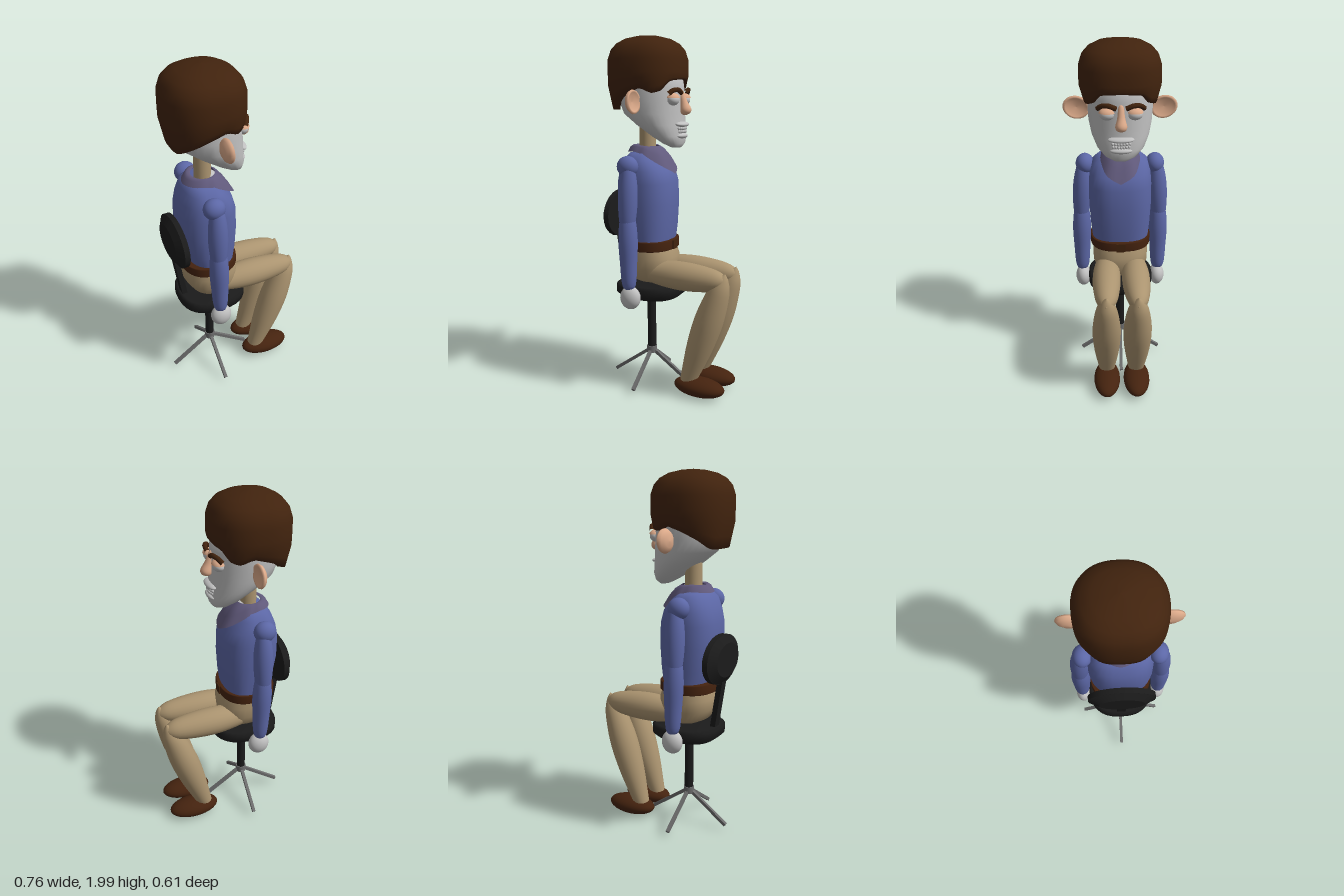
import * as THREE from 'three';

const mat = (name, color, side = THREE.FrontSide) => {
  const m = new THREE.MeshStandardMaterial({ color, side });
  m.name = name;
  return m;
};

// Closed surface of rings; at(i, angle) gives the point on ring i, listed from bottom to top
function rings(count, at, seg = 32) {
  const pos = [], idx = [];
  for (let i = 0; i < count; i++) {
    for (let j = 0; j < seg; j++) pos.push(...at(i, (j / seg) * Math.PI * 2));
  }
  for (let i = 0; i < count - 1; i++) {
    for (let j = 0; j < seg; j++) {
      const k = (j + 1) % seg, a = i * seg + j, b = i * seg + k, c = a + seg, d = b + seg;
      idx.push(a, c, b, b, c, d);
    }
  }
  const g = new THREE.BufferGeometry();
  g.setAttribute('position', new THREE.Float32BufferAttribute(pos, 3));
  g.setIndex(idx);
  g.computeVertexNormals();
  return g;
}

const bow = (v, p) => Math.sign(v) * Math.abs(v) ** p;

// Loft through horizontal sections [y, xBack, xFront, halfWidth]; p < 1 makes them boxier
const loft = (s, p = 1) => rings(s.length, (i, a) => {
  const [y, x0, x1, w] = s[i];
  return [(x0 + x1) / 2 + ((x1 - x0) / 2) * bow(Math.cos(a), p), y, w * bow(Math.sin(a), p)];
});

// Linear lookup in [[key, value], ...]
function lookup(table, k) {
  for (let i = 1; i < table.length; i++) {
    const [a, va] = table[i - 1], [b, vb] = table[i];
    if (k <= b) return va + ((vb - va) * (k - a)) / (b - a);
  }
  return table[table.length - 1][1];
}

export function createModel() {
  const model = new THREE.Group();
  const hairBrown = mat('hair brown', 0x41230e);
  const leather = mat('leather brown', 0x45230f);
  const grey = mat('pale grey', 0xc0c0c0);
  const peach = mat('peach', 0xdcaa8a);
  const blue = mat('sweater blue', 0x5c67a6);
  const tan = mat('trouser tan', 0xab9470);
  const mauve = mat('collar mauve', 0x615a7c, THREE.DoubleSide);
  const black = mat('chair black', 0x1b1b1b);
  const metal = mat('metal grey', 0x6c6c6c);

  const add = (name, geo, m, x = 0, y = 0, z = 0) => {
    const mesh = new THREE.Mesh(geo, m);
    mesh.name = name;
    mesh.position.set(x, y, z);
    model.add(mesh);
    return mesh;
  };
  const blob = (name, m, c, r, tilt = [0, 0, 0]) => {
    const mesh = add(name, new THREE.SphereGeometry(1, 28, 18), m, ...c);
    mesh.scale.set(...r);
    mesh.rotation.set(...tilt);
    return mesh;
  };
  // Round limb between two points, profile [fraction along, radius], width scaled in z
  const limb = (name, m, from, to, profile, seg = 24) => {
    const a = new THREE.Vector3(...from), d = new THREE.Vector3(...to).sub(a);
    const curve = new THREE.SplineCurve(profile.map(([t, r]) => new THREE.Vector2(r, t * d.length())));
    const pts = curve.getPoints(24).map((v) => v.setX(Math.max(v.x, 0)));
    const mesh = add(name, new THREE.LatheGeometry(pts, seg), m, ...from);
    mesh.quaternion.setFromUnitVectors(new THREE.Vector3(0, 1, 0), d.normalize());
    return mesh;
  };

  // Head
  add('head', loft([
    [1.395, 0.02, 0.03, 0], [1.398, -0.0, 0.045, 0.04], [1.42, -0.045, 0.062, 0.085], [1.46, -0.11, 0.066, 0.125],
    [1.52, -0.2, 0.06, 0.155], [1.58, -0.28, 0.058, 0.17], [1.65, -0.31, 0.056, 0.176],
    [1.72, -0.31, 0.052, 0.176], [1.8, -0.3, 0.04, 0.17], [1.88, -0.15, -0.1, 0],
  ]), grey);

  // Hair cap with a hairline that dips at the temples and the nape
  const hairline = [[0, 1.765], [28, 1.755], [46, 1.7], [62, 1.69], [80, 1.72], [100, 1.69], [130, 1.64], [155, 1.6], [180, 1.6]];
  const crown = [[1.8, 1], [1.87, 0.995], [1.92, 0.92], [1.955, 0.78], [1.98, 0.57], [1.995, 0.28], [2, 0]];
  add('hair', rings(crown.length + 4, (i, a) => {
    const deg = (Math.acos(Math.cos(a)) * 180) / Math.PI;
    const low = lookup(hairline, deg), edge = lookup([[0, 0.98], [90, 0.92], [180, 0.86]], deg);
    let y, s;
    if (i < 4) {
      const t = [0, 0, 0.3, 0.65][i];
      y = low + (1.8 - low) * t;
      s = i === 0 ? 0.7 : edge + (1 - edge) * Math.min(1, t * 1.5);
    } else [y, s] = crown[i - 4];
    return [-0.148 + 0.212 * s * bow(Math.cos(a), 0.85), y, 0.22 * s * bow(Math.sin(a), 0.85)];
  }, 48), hairBrown);

  // Face
  limb('nose', peach, [0.045, 1.71, 0], [0.085, 1.575, 0], [[0, 0], [0.08, 0.013], [0.5, 0.021], [0.8, 0.031], [0.95, 0.022], [1, 0]]);
  blob('upperLip', grey, [0.055, 1.525, 0], [0.03, 0.015, 0.07], [0, 0, -0.15]);
  blob('lowerLip', grey, [0.052, 1.462, 0], [0.027, 0.016, 0.06]);
  for (let i = -3; i <= 3; i++) {
    blob('upperTooth', grey, [0.066 - i * i * 0.001, 1.502, i * 0.015], [0.008, 0.009, 0.008]);
    blob('lowerTooth', grey, [0.066 - i * i * 0.001, 1.485, i * 0.014], [0.008, 0.009, 0.007]);
  }

  // Neck, undershirt and collar
  add('neck', new THREE.CylinderGeometry(0.046, 0.046, 0.2, 24), tan, -0.155, 1.44);
  blob('undershirt', grey, [-0.105, 1.365, 0], [0.05, 0.03, 0.045], [0, 0, -0.6]);
  const drop = [[0, 1.25], [25, 1.285], [50, 1.325], [75, 1.36], [110, 1.375], [180, 1.365]];
  const reach = [[0, 0.172], [25, 0.165], [50, 0.13], [90, 0.105], [180, 0.115]];
  add('collar', rings(4, (i, a) => {
    const deg = (Math.acos(Math.cos(a)) * 180) / Math.PI;
    const t = [1, 0.66, 0.33, 0][i];
    const r = 0.065 + (lookup(reach, deg) - 0.065) * t;
    const y = 1.402 + (lookup(drop, deg) - 1.402) * t + 0.02 * Math.sin(t * Math.PI);
    return [-0.155 + r * Math.cos(a), y, r * Math.sin(a)];
  }, 40), mauve);

  // Torso, belt and hips
  add('torso', loft([
    [0.86, -0.26, -0.01, 0.16], [0.95, -0.29, 0.002, 0.17], [1.08, -0.31, 0.01, 0.178], [1.2, -0.31, 0.006, 0.178],
    [1.27, -0.295, -0.015, 0.172], [1.33, -0.27, -0.065, 0.155], [1.365, -0.24, -0.095, 0.115], [1.375, -0.17, -0.15, 0],
  ], 0.8), blue);
  add('belt', loft([
    [0.825, -0.2, -0.1, 0.05], [0.825, -0.3, 0.008, 0.17], [0.83, -0.304, 0.012, 0.173],
    [0.875, -0.304, 0.012, 0.173], [0.88, -0.3, 0.008, 0.17], [0.88, -0.2, -0.1, 0.05],
  ], 0.8), leather);
  add('buckle', new THREE.BoxGeometry(0.009, 0.05, 0.05), hairBrown, 0.013, 0.852);
  add('hips', loft([
    [0.63, -0.14, -0.12, 0], [0.635, -0.2, -0.04, 0.09], [0.66, -0.25, 0.0, 0.135], [0.72, -0.285, 0.022, 0.158],
    [0.78, -0.288, 0.02, 0.16], [0.83, -0.275, 0.0, 0.155],
  ], 0.85), tan);

  for (const s of [1, -1]) {
    const side = s > 0 ? 'left' : 'right';
    // Eyes, lids, brows and ears
    blob(side + 'Eye', grey, [0.035, 1.655, s * 0.072], [0.033, 0.03, 0.04]);
    const lid = add(side + 'Eyelid', new THREE.SphereGeometry(1, 24, 8, 0, Math.PI * 2, 0, Math.PI * 0.42), peach, 0.035, 1.657, s * 0.072);
    lid.scale.set(0.038, 0.034, 0.045);
    const brow = new THREE.CatmullRomCurve3([[0.062, 1.692, 0.025], [0.062, 1.708, 0.065], [0.046, 1.703, 0.1], [0.03, 1.685, 0.122]]
      .map(([x, y, z]) => new THREE.Vector3(x, y, s * z)));
    add(side + 'Brow', new THREE.TubeGeometry(brow, 16, 0.013, 10), hairBrown);
    const cup = [[0, -0.5], [0.5, -0.42], [0.85, -0.1], [1, 0.25], [0.95, 0.5], [0.8, 0.48], [0.55, 0.2], [0, 0.1]];
    const ear = add(side + 'Ear', new THREE.LatheGeometry(cup.map(([r, h]) => new THREE.Vector2(r, h)), 28), peach, -0.13, 1.645, s * 0.235);
    ear.rotation.set(s * -0.3, 0, -Math.PI / 2, 'XYZ');
    ear.scale.set(0.063, 0.038, 0.073);

    // Arms
    blob(side + 'Shoulder', blue, [-0.177, 1.3, s * 0.198], [0.06, 0.058, 0.052]);
    limb(side + 'UpperArm', blue, [-0.165, 1.32, s * 0.208], [-0.168, 0.92, s * 0.228],
      [[0, 0], [0.05, 0.03], [0.3, 0.05], [0.6, 0.052], [0.9, 0.036], [1, 0]]);
    limb(side + 'Forearm', blue, [-0.168, 1.08, s * 0.222], [-0.16, 0.62, s * 0.226],
      [[0, 0], [0.1, 0.038], [0.35, 0.053], [0.65, 0.048], [0.95, 0.036], [1, 0]]);
    blob(side + 'Hand', grey, [-0.155, 0.575, s * 0.222], [0.06, 0.065, 0.045]);

    // Legs and shoes
    limb(side + 'Thigh', tan, [-0.17, 0.7, s * 0.08], [0.372, 0.688, s * 0.088],
      [[0, 0], [0.08, 0.05], [0.35, 0.077], [0.6, 0.078], [0.85, 0.06], [0.96, 0.03], [1, 0]]);
    limb(side + 'Shin', tan, [0.352, 0.735, s * 0.088], [0.13, 0.07, s * 0.088],
      [[0, 0], [0.05, 0.03], [0.16, 0.06], [0.4, 0.08], [0.65, 0.074], [0.9, 0.052], [1, 0.042]]);
    blob(side + 'Shoe', leather, [0.205, 0.063, s * 0.088], [0.15, 0.054, 0.077], [0, 0, -0.03]);
  }

  // Chair seat, back and post
  const seat = [[0, 0.545], [0.165, 0.545], [0.195, 0.57], [0.195, 0.61], [0.18, 0.625], [0, 0.625]];
  add('seat', loft(seat.map(([r, y]) => [y, -0.132 - r, -0.132 + r, r * 0.97]), 0.8), black);
  const back = add('backrest', new THREE.CylinderGeometry(1, 0.68, 0.03, 28), black, -0.355, 1.01);
  back.rotation.z = -Math.PI / 2;
  back.scale.set(0.136, 1, 0.186);
  const pad = add('backrestPad', new THREE.CylinderGeometry(1, 1, 0.03, 28), black, -0.326, 1.01);
  pad.rotation.z = -Math.PI / 2;
  pad.scale.set(0.136, 1, 0.186);
  const bar = add('backBar', new THREE.BoxGeometry(0.03, 0.38, 0.05), black, -0.315, 0.76);
  bar.rotation.z = 0.15;
  add('post', new THREE.CylinderGeometry(0.025, 0.025, 0.35, 16), black, -0.135, 0.385);

  // Four splayed base legs
  add('hub', new THREE.CylinderGeometry(0.03, 0.03, 0.04, 16), metal, -0.135, 0.205);
  for (let i = 0; i < 4; i++) {
    const a = (i * Math.PI) / 2;
    const leg = add('baseLeg', new THREE.BoxGeometry(0.018, 0.018, 0.295), metal, -0.135 + 0.12 * Math.sin(a), 0.125, 0.12 * Math.cos(a));
    leg.rotation.set(Math.atan2(0.17, 0.24), a, 0, 'YXZ');
  }
  return model;
}
